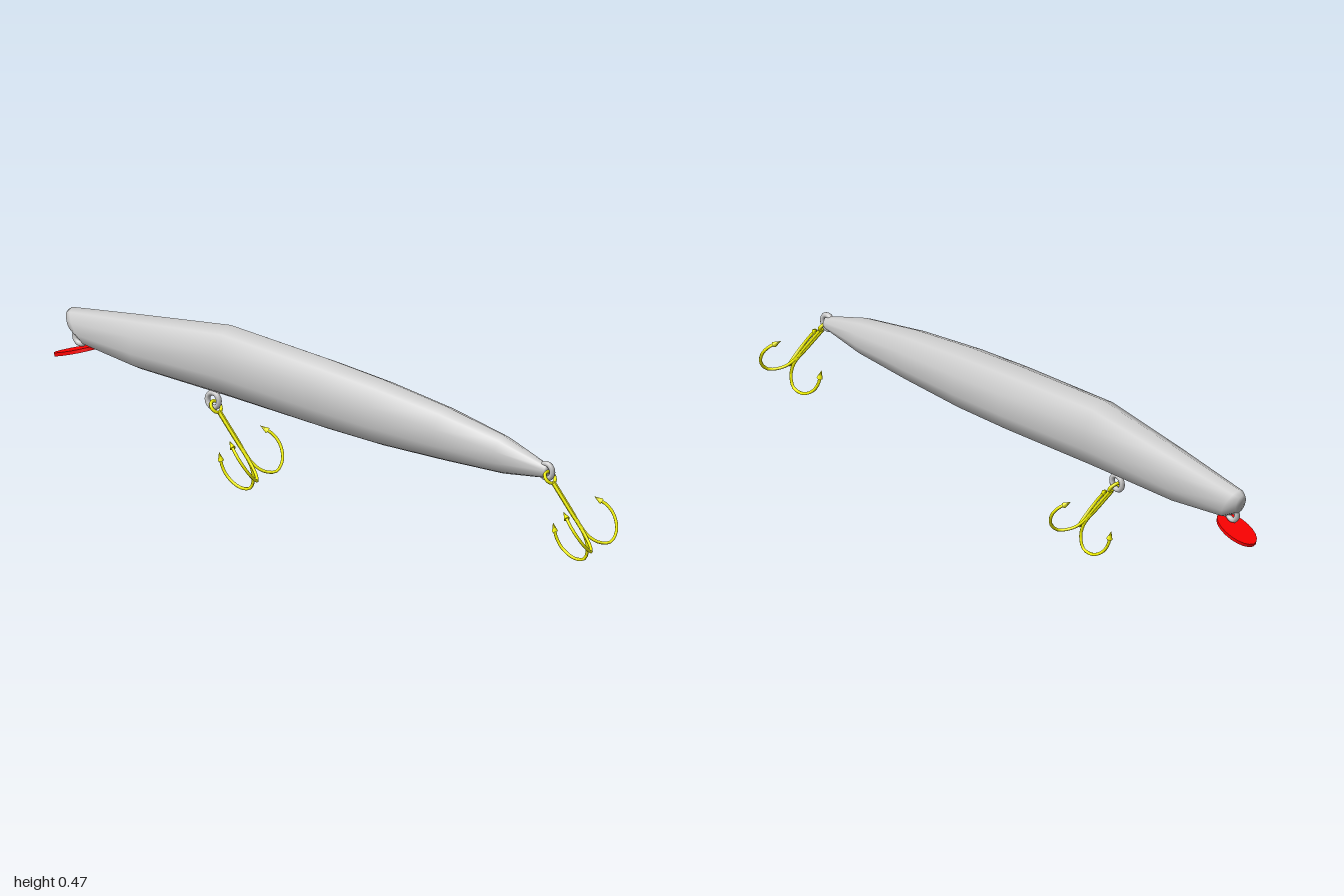
import * as THREE from 'three';

const MID_Z = 0.0225;
const grey = new THREE.MeshStandardMaterial({ color: 0xcccccc });
const red = new THREE.MeshStandardMaterial({ color: 0xff0000 });
const yellow = new THREE.MeshStandardMaterial({ color: 0xffff00 });

function add(parent, name, geometry, material) {
  const mesh = new THREE.Mesh(geometry, material);
  mesh.name = name;
  parent.add(mesh);
  return mesh;
}

// Ten-sided body skinned over slanted elliptical sections
function bodyGeometry() {
  // [top x, top y, bottom x, bottom y, half width]
  const sections = [
    [-0.948, 0.38, -0.948, 0.38, 0],
    [-0.955, 0.405, -0.937, 0.345, 0.018],
    [-0.94, 0.415, -0.88, 0.314, 0.032],
    [-0.68, 0.446, -0.69, 0.288, 0.051],
    [-0.36, 0.482, -0.36, 0.275, 0.065],
    [0, 0.458, 0, 0.257, 0.07],
    [0.2, 0.44, 0.2, 0.251, 0.068],
    [0.43, 0.41, 0.43, 0.254, 0.057],
    [0.64, 0.37, 0.64, 0.26, 0.04],
    [0.8, 0.318, 0.8, 0.28, 0.016],
    [0.8, 0.3, 0.8, 0.3, 0],
  ];
  const sides = 10, positions = [], index = [];
  sections.forEach(([xt, yt, xb, yb, r], i) => {
    for (let j = 0; j < sides; j++) {
      const a = (j / sides) * Math.PI * 2;
      const t = (1 - Math.cos(a)) / 2;
      positions.push(xt + (xb - xt) * t, yt + (yb - yt) * t, MID_Z + r * Math.sin(a));
      if (i === sections.length - 1) continue;
      const p = i * sides + j, q = i * sides + ((j + 1) % sides);
      index.push(p, q, p + sides, q, q + sides, p + sides);
    }
  });
  const geometry = new THREE.BufferGeometry();
  geometry.setAttribute('position', new THREE.Float32BufferAttribute(positions, 3));
  geometry.setIndex(index);
  geometry.computeVertexNormals();
  return geometry;
}

// Treble hook: an eye and three barbed prongs around the shank (local -y)
function trebleHook(name, x, y) {
  const hook = new THREE.Group();
  hook.name = name;
  add(hook, 'hookEye', new THREE.TorusGeometry(0.018, 0.005, 6, 14), yellow).rotation.y = Math.PI / 2;

  const path = new THREE.CatmullRomCurve3([
    [0.003, -0.016], [0.003, -0.1], [0.004, -0.185], [0.02, -0.22], [0.05, -0.238],
    [0.082, -0.22], [0.1, -0.18], [0.098, -0.145], [0.085, -0.118],
  ].map(([px, py]) => new THREE.Vector3(px, py, 0)));
  const wire = new THREE.TubeGeometry(path, 32, 0.0045, 6);
  const barbShape = new THREE.ConeGeometry(0.009, 0.026, 6);
  const tip = path.getPoint(1);
  const tipDirection = path.getTangent(1);

  for (let i = 0; i < 3; i++) {
    const prong = new THREE.Group();
    prong.name = 'prong';
    prong.rotation.y = (i * Math.PI * 2) / 3;
    add(prong, 'prongWire', wire, yellow);
    const barb = add(prong, 'barb', barbShape, yellow);
    barb.position.copy(tip);
    barb.quaternion.setFromUnitVectors(new THREE.Vector3(0, 1, 0), tipDirection);
    hook.add(prong);
  }

  // Hang backwards with a slight sideways lean
  const up = new THREE.Vector3(-0.61, 0.79, 0.1).normalize();
  const out = new THREE.Vector3(-0.79, -0.61, 0).normalize();
  const side = new THREE.Vector3().crossVectors(out, up);
  hook.quaternion.setFromRotationMatrix(new THREE.Matrix4().makeBasis(out, up, side));
  hook.position.set(x, y, MID_Z);
  return hook;
}

export function createModel() {
  const lure = new THREE.Group();
  lure.name = 'fishingLure';
  add(lure, 'body', bodyGeometry(), grey);

  // Diving lip under the nose
  const lip = add(lure, 'divingLip', new THREE.CylinderGeometry(1, 1, 1, 20), red);
  lip.scale.set(0.074, 0.01, 0.04);
  lip.rotation.z = 0.31;
  lip.position.set(-0.929, 0.292, MID_Z);

  // Wire eyelets at nose, belly and tail
  const eyelet = new THREE.TorusGeometry(0.021, 0.008, 8, 16);
  for (const [name, x, y] of [
    ['noseEyelet', -0.91, 0.336],
    ['bellyEyelet', -0.424, 0.253],
    ['tailEyelet', 0.798, 0.3],
  ]) add(lure, name, eyelet, grey).position.set(x, y, MID_Z);

  lure.add(trebleHook('bellyHook', -0.414, 0.236));
  lure.add(trebleHook('tailHook', 0.81, 0.284));
  return lure;
}
